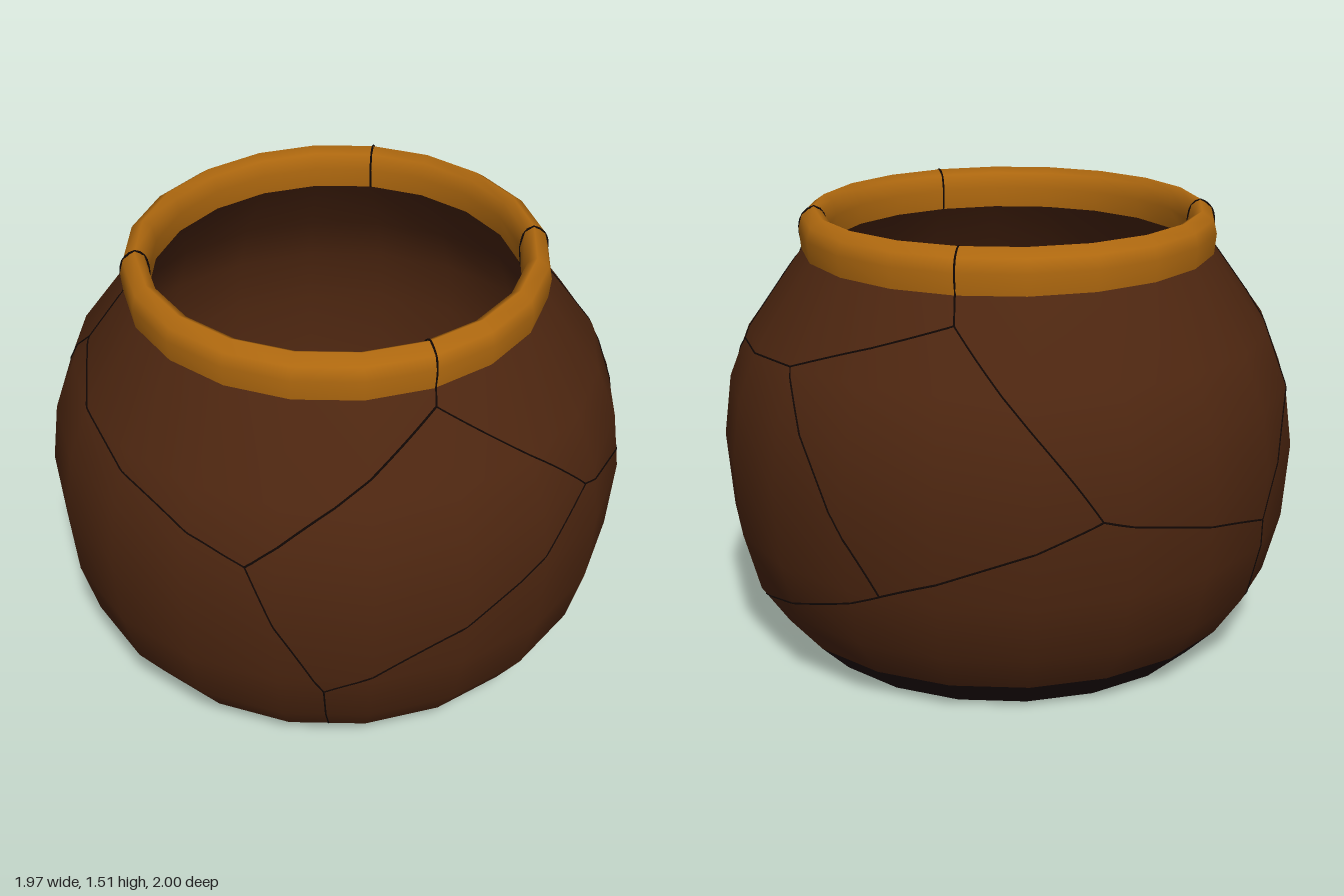
import * as THREE from 'three';

const SIDES = 20;
const X_SCALE = 0.983;

// Outer wall silhouette as [radius, height]
const WALL = [[0.725, 0], [0.83, 0.105], [0.925, 0.245], [0.98, 0.45], [1, 0.71],
  [0.972, 0.92], [0.9, 1.1], [0.71, 1.36]];
const RIM = [[0.71, 1.36], [0.717, 1.43], [0.705, 1.475], [0.665, 1.503], [0.635, 1.485],
  [0.622, 1.43], [0.628, 1.36]];
const INNER = [[0.628, 1.36], [0.82, 1.1], [0.89, 0.92], [0.915, 0.71], [0.895, 0.45],
  [0.845, 0.245], [0.77, 0.11]];

// Radius of the wall at a height
function wallRadius(y) {
  let i = 1;
  while (i < WALL.length - 1 && WALL[i][1] < y) i++;
  const [r0, y0] = WALL[i - 1], [r1, y1] = WALL[i];
  return r0 + (r1 - r0) * (y - y0) / (y1 - y0);
}

// Point on the faceted lathe at a given angle, radius and height
function facetPoint(angle, radius, y) {
  const step = 2 * Math.PI / SIDES;
  const local = angle - Math.floor(angle / step) * step - step / 2;
  const r = radius * Math.cos(step / 2) / Math.cos(local);
  return new THREE.Vector3(Math.sin(angle) * r * X_SCALE, y, Math.cos(angle) * r);
}

export function createModel() {
  const group = new THREE.Group();
  const mat = (name, color) => {
    const m = new THREE.MeshStandardMaterial({ color });
    m.name = name;
    return m;
  };
  const clay = mat('brown clay', 0x4d2610);
  const gold = mat('ochre rim', 0xb0690f);
  const dark = mat('dark base', 0x220d10);
  const crackMat = mat('crack black', 0x120704);

  const add = (name, geometry, material, parent = group) => {
    const mesh = new THREE.Mesh(geometry, material);
    mesh.name = name;
    parent.add(mesh);
  };
  const lathe = (name, profile, material) => {
    const g = new THREE.LatheGeometry(profile.map(([r, y]) => new THREE.Vector2(r, y)), SIDES);
    add(name, g.scale(X_SCALE, 1, 1), material);
  };

  // Pot shell
  lathe('underside', [[0, 0], WALL[0]], dark);
  lathe('baseBand', WALL.slice(0, 2), dark);
  lathe('outerWall', WALL.slice(1), clay);
  lathe('rim', RIM, gold);
  lathe('innerWall', INNER, clay);
  lathe('innerFloor', [[0.77, 0.11], [0, 0.11]], dark);

  // Crack junctions on the wall
  const J = {
    frontMid: [0.2, 0.895, 0.95], frontLow: [0.43, 0.385, 0.87], frontFoot: [0.37, 0.11, 0.73],
    frontLeft: [0.57, 1.315, 0.43], frontRight: [-0.67, 1.185, 0.47],
    sideMid: [0.97, 0.89, 0.06], sideBack: [0.9, 0.745, -0.41], sideFoot: [0.7, 0.12, -0.47],
    backLeft: [0.7, 1.06, -0.55], backTop: [0.29, 1.1, -0.84], backRim: [-0.24, 1.28, -0.72],
    backLow: [-0.11, 0.45, -0.97], backRight: [-0.74, 0.72, -0.67],
    rightMid: [-0.98, 0.55, 0], rightFoot: [-0.82, 0.11, 0.1],
  };
  const EDGES = [
    ['frontMid', 'frontRight'], ['frontMid', 'frontLeft'], ['frontMid', 'frontLow'],
    ['frontLow', 'frontFoot'], ['frontLow', 'sideMid'], ['frontLeft', 'sideMid'],
    ['sideMid', 'sideBack'], ['sideBack', 'backLeft'], ['sideBack', 'sideFoot'],
    ['backLeft', 'backTop'], ['backTop', 'backRim'], ['backTop', 'backLow'],
    ['backLow', 'backRight'], ['backLow', 'sideFoot'], ['backRim', 'backRight'],
    ['backRight', 'rightMid'], ['rightMid', 'frontRight'], ['rightMid', 'rightFoot'],
  ];
  const cracks = new THREE.Group();
  cracks.name = 'cracks';
  group.add(cracks);
  const crack = (name, points) => {
    const curve = new THREE.CatmullRomCurve3(points);
    add(name, new THREE.TubeGeometry(curve, points.length * 2, 0.0035, 4), crackMat, cracks);
  };

  // Wall cracks: straight cuts projected onto the faceted wall
  for (const [a, b] of EDGES) {
    const p = new THREE.Vector3(...J[a]), q = new THREE.Vector3(...J[b]);
    const points = [];
    for (let i = 0; i <= 40; i++) {
      const v = p.clone().lerp(q, i / 40);
      points.push(facetPoint(Math.atan2(v.x / X_SCALE, v.z), wallRadius(v.y), v.y));
    }
    crack('wallCrack', points);
  }

  // Cracks running up the shoulder and over the rim
  for (const key of ['frontLeft', 'frontRight', 'backLeft', 'backRim']) {
    const [x, y, z] = J[key];
    const start = Math.atan2(x / X_SCALE, z);
    const end = { frontLeft: 0.95, frontRight: -0.96, backLeft: 2.19, backRim: -2.83 }[key];
    const points = [];
    for (let i = 0; i < 8; i++) {
      const t = i / 8, h = y + (1.36 - y) * t;
      points.push(facetPoint(start + (end - start) * t, wallRadius(h), h));
    }
    for (const [r, h] of RIM) points.push(facetPoint(end, r, h));
    crack('rimCrack', points);
  }

  // Cracks across the inner floor
  for (const [x, z] of [[-0.76, 0.1], [0.33, 0.66], [0.6, -0.44]]) {
    crack('floorCrack', [new THREE.Vector3(0.08, 0.11, 0.14), new THREE.Vector3(x, 0.11, z)]);
  }
  return group;
}
